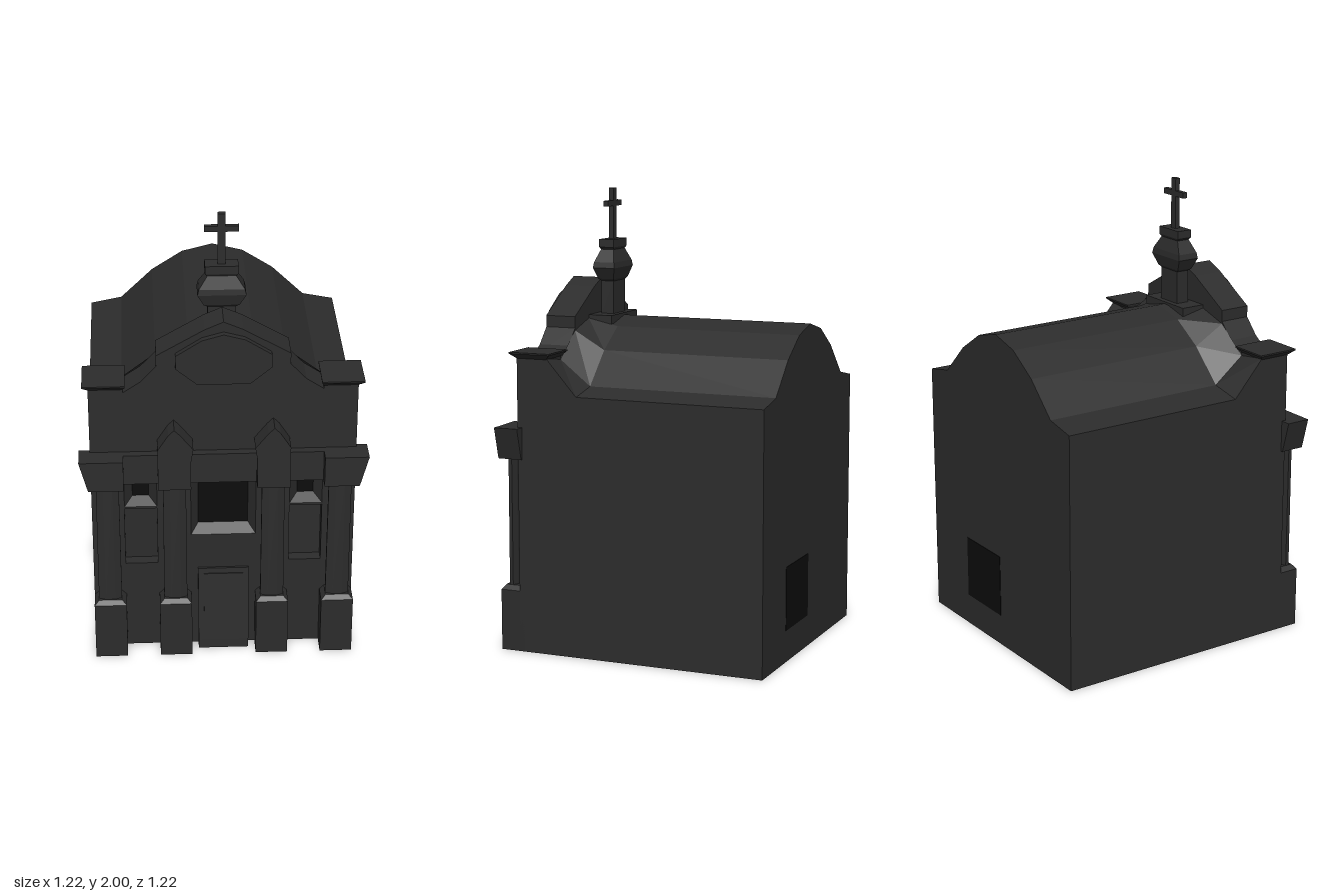
import * as THREE from 'three';

const stone = new THREE.MeshStandardMaterial({ color: 0x2c2c2c, flatShading: true, side: THREE.DoubleSide });
const dark = new THREE.MeshStandardMaterial({ color: 0x0c0c0c, flatShading: true, side: THREE.DoubleSide });

// Flat-shaded surface from a list of quads, each four [x, y, z] corners
function quads(list) {
  const pos = [];
  for (const [a, b, c, d] of list) pos.push(...a, ...b, ...c, ...a, ...c, ...d);
  const g = new THREE.BufferGeometry();
  g.setAttribute('position', new THREE.Float32BufferAttribute(pos, 3));
  g.computeVertexNormals();
  return g;
}

// Rectangular stack: levels are [y, x0, x1, z0, z1], bottom to top
function stack(levels) {
  const rings = levels.map(([y, x0, x1, z0, z1]) => [[x0, y, z1], [x1, y, z1], [x1, y, z0], [x0, y, z0]]);
  const list = [[...rings[0]].reverse(), rings[rings.length - 1]];
  for (let i = 0; i + 1 < rings.length; i++)
    for (let k = 0; k < 4; k++) {
      const n = (k + 1) % 4;
      list.push([rings[i][k], rings[i][n], rings[i + 1][n], rings[i + 1][k]]);
    }
  return quads(list);
}

// Symmetric outline given by its right half, bottom to top
function symmetric(half) {
  const left = half.filter(([x]) => x > 0).map(([x, y]) => [-x, y]).reverse();
  return [...half, ...left].map(([x, y]) => new THREE.Vector2(x, y));
}

function extrude(points, z0, z1, holes = []) {
  const shape = new THREE.Shape(points);
  for (const [x0, x1, y0, y1] of holes)
    shape.holes.push(new THREE.Path([[x0, y0], [x0, y1], [x1, y1], [x1, y0]].map(p => new THREE.Vector2(...p))));
  return new THREE.ExtrudeGeometry(shape, { depth: z1 - z0, bevelEnabled: false }).translate(0, 0, z0);
}

export function createModel() {
  const model = new THREE.Group();
  const add = (name, geometry, material = stone) => {
    const m = new THREE.Mesh(geometry, material);
    m.name = name;
    model.add(m);
    return m;
  };
  const box = (name, x0, x1, y0, y1, z0, z1, material) =>
    add(name, new THREE.BoxGeometry(x1 - x0, y1 - y0, z1 - z0)
      .translate((x0 + x1) / 2, (y0 + y1) / 2, (z0 + z1) / 2), material);

  // Nave
  box('nave', -0.565, 0.565, 0, 1.14, -0.61, 0.38);
  box('backOpening', 0, 0.28, 0.14, 0.42, -0.612, -0.6, dark);

  // Roof: gable profile that flares up to meet the front wall
  const xs = [0.565, 0.565, 0.425, 0.28, 0.14, 0];
  const roofRow = (z, ys) => {
    const right = xs.map((x, i) => [x, ys[i], z]);
    return [...right, ...right.slice(0, -1).reverse().map(([x, y]) => [-x, y, z])];
  };
  const gable = [1.14, 1.142, 1.17, 1.31, 1.4, 1.435];
  const rows = [roofRow(-0.61, gable), roofRow(0.24, gable),
    roofRow(0.38, [1.14, 1.3, 1.28, 1.39, 1.43, 1.44])];
  const roof = [];
  for (let r = 0; r < 2; r++)
    for (let i = 0; i + 1 < rows[0].length; i++)
      roof.push([rows[r][i], rows[r][i + 1], rows[r + 1][i + 1], rows[r + 1][i]]);
  const back = rows[0];
  for (let i = 0; i + 1 < back.length; i++) {
    const [a, b] = [back[i], back[i + 1]];
    roof.push([[a[0], 1.14, -0.61], [b[0], 1.14, -0.61], b, a]);
  }
  add('roof', quads(roof));

  // Front wall with recessed window, niches and small openings
  const outline = symmetric([[0.565, 0], [0.565, 1.3], [0.42, 1.3], [0.42, 1.28], [0.345, 1.33],
    [0.28, 1.4], [0.28, 1.45], [0.08, 1.565], [0, 1.6]]);
  const holes = [[-0.14, 0.14, 0.57, 0.85]];
  for (const s of [-1, 1]) {
    const [a, b] = s > 0 ? [0.285, 0.425] : [-0.425, -0.285];
    holes.push([a, b, 0.43, 0.71], [a, b, 0.72, 0.85]);
  }
  add('frontWallCore', extrude(outline, 0.38, 0.47));
  add('frontWall', extrude(outline, 0.47, 0.52, holes));
  add('pedimentPanel', extrude(symmetric([[0.11, 1.325], [0.2, 1.4], [0.2, 1.46], [0.09, 1.53], [0, 1.555]]), 0.52, 0.548));

  // Splayed reveals narrowing from the wall face to a dark pane
  const splayedWindow = (name, [x0, x1, y0, y1], [u0, u1, v0, v1], pane) => {
    const o = [[x0, y0, 0.52], [x1, y0, 0.52], [x1, y1, 0.52], [x0, y1, 0.52]];
    const n = [[u0, v0, 0.475], [u1, v0, 0.475], [u1, v1, 0.475], [u0, v1, 0.475]];
    add(name + 'Reveal', quads(o.map((p, i) => [p, o[(i + 1) % 4], n[(i + 1) % 4], n[i]])));
    add(name + 'Pane', quads([n]), pane);
  };
  splayedWindow('centreWindow', holes[0], [-0.108, 0.108, 0.605, 0.82], dark);
  splayedWindow('rightSmallWindow', holes[2], [-0.39, -0.32, 0.75, 0.82], dark);
  splayedWindow('leftSmallWindow', holes[4], [0.32, 0.39, 0.75, 0.82], dark);

  // Door: leaning frame around a slightly sunk leaf
  add('doorFrame', stack([[0, -0.11, 0.11, 0.5, 0.565], [0.04, -0.11, 0.11, 0.5, 0.562], [0.4, -0.11, 0.11, 0.5, 0.53]]));
  add('doorLeaf', stack([[0.05, -0.085, 0.085, 0.51, 0.566], [0.375, -0.085, 0.085, 0.51, 0.536]]));

  // Frieze between the column blocks
  box('frieze', -0.43, 0.43, 0.855, 0.995, 0.5, 0.555);

  for (const s of [-1, 1]) {
    const side = s > 0 ? 'left' : 'right';
    const span = (a, b) => (s > 0 ? [a, b] : [-b, -a]);

    // Plinths and flattened columns
    for (const [part, a, b] of [['Outer', 0.425, 0.565], ['Inner', 0.14, 0.28]]) {
      const [x0, x1] = span(a, b);
      add(side + part + 'Plinth', stack([[0, x0, x1, 0.5, 0.61], [0.27, x0, x1, 0.5, 0.61],
        [0.29, x0 + 0.02, x1 - 0.02, 0.5, 0.595]]));
      const column = new THREE.CylinderGeometry(0.05, 0.052, 0.57, 8).rotateY(Math.PI / 8).scale(1.05, 1, 0.4);
      add(side + part + 'Column', column.translate((x0 + x1) / 2, 0.57, 0.57));
    }

    // Outer capital blocks, flaring outwards
    add(side + 'OuterCapital', stack([[0.855, ...span(0.425, 0.575), 0.5, 0.61],
      [0.995, ...span(0.425, 0.612), 0.5, 0.61]]));

    // Inner capital blocks with a pointed top
    const point = [[0.14, 0.855], [0.28, 0.855], [0.28, 1.05], [0.235, 1.12], [0.21, 1.145], [0.185, 1.12], [0.13, 1.05], [0.14, 0.99]];
    const pts = point.map(([x, y]) => new THREE.Vector2(s * x, y));
    add(side + 'InnerCapital', extrude(pts, 0.52, 0.61));

    // Corner pier cap
    add(side + 'PierCap', stack([[1.295, ...span(0.42, 0.565), 0.38, 0.52],
      [1.317, ...span(0.41, 0.59), 0.355, 0.545], [1.323, ...span(0.41, 0.59), 0.355, 0.545]]));
  }

  // Lantern on its pedestal behind the pediment
  box('lanternPedestal', -0.14, 0.14, 1.36, 1.445, 0.27, 0.39);
  const levels = [[1.44, 0.06], [1.59, 0.06], [1.6, 0.075], [1.65, 0.102], [1.675, 0.096],
    [1.73, 0.06], [1.74, 0.07], [1.775, 0.07]];
  add('lantern', stack(levels.map(([y, w]) => [y, -w, w, 0.325 - w / 2, 0.325 + w / 2])));

  // Cross
  box('crossPost', -0.016, 0.016, 1.77, 2, 0.314, 0.336);
  box('crossArm', -0.072, 0.072, 1.92, 1.945, 0.314, 0.336);

  return model;
}
